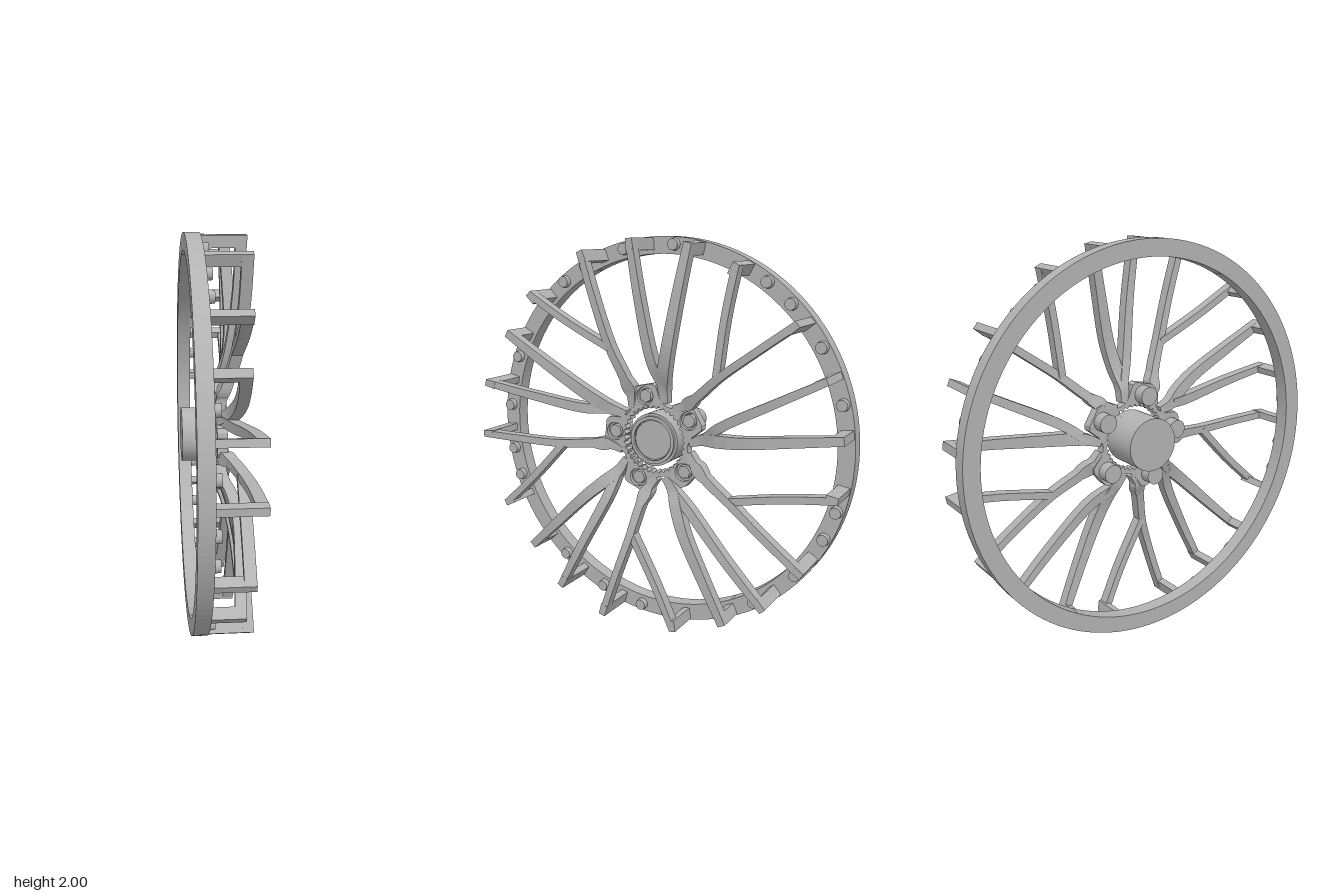
import * as THREE from 'three';

const rad = THREE.MathUtils.degToRad;
const polar = (deg, r) => new THREE.Vector2(Math.cos(rad(deg)) * r, Math.sin(rad(deg)) * r);

// Swept rectangular bar; rows are [angle, radius, front height, width, depth]
function barGeometry(rows, steps) {
  const path = new THREE.CatmullRomCurve3(rows.map(([a, r, z]) => {
    const p = polar(a, r);
    return new THREE.Vector3(p.x, p.y, z);
  }));
  const size = new THREE.CatmullRomCurve3(rows.map(([, , , w, d]) => new THREE.Vector3(w, d, 0)));
  const sections = [];
  for (let i = 0; i <= steps; i++) {
    const p = path.getPoint(i / steps), t = path.getTangent(i / steps), s = size.getPoint(i / steps);
    const n = new THREE.Vector2(-t.y, t.x).normalize().multiplyScalar(s.x / 2);
    sections.push([[1, 0], [-1, 0], [-1, 1], [1, 1]].map(([side, back]) =>
      [p.x + n.x * side, p.y + n.y * side, p.z - s.y * back]));
  }
  const pos = [];
  const tri = (...c) => c.forEach(v => pos.push(...v));
  for (let i = 0; i < steps; i++) {
    const A = sections[i], B = sections[i + 1];
    for (let k = 0; k < 4; k++) {
      const m = (k + 1) % 4;
      tri(A[m], B[m], B[k]);
      tri(A[m], B[k], A[k]);
    }
  }
  const s = sections[0], e = sections[steps];
  tri(s[0], s[2], s[1]); tri(s[0], s[3], s[2]);
  tri(e[0], e[1], e[2]); tri(e[0], e[2], e[3]);
  const g = new THREE.BufferGeometry();
  g.setAttribute('position', new THREE.Float32BufferAttribute(pos, 3));
  g.computeVertexNormals();
  return g;
}

// Flat plate between two heights along the axle
function plate(shape, z0, z1, curveSegments = 24) {
  return new THREE.ExtrudeGeometry(shape, { depth: z1 - z0, bevelEnabled: false, curveSegments }).translate(0, 0, z0);
}

function disc(r, hole) {
  const s = new THREE.Shape().absarc(0, 0, r, 0, Math.PI * 2);
  if (hole) s.holes.push(new THREE.Path().absarc(0, 0, hole, 0, Math.PI * 2, true));
  return s;
}

// Cylinder or prism lying along the axle
function peg(r0, r1, z0, z1, sides) {
  return new THREE.CylinderGeometry(r1, r0, z1 - z0, sides).rotateX(Math.PI / 2).translate(0, 0, (z0 + z1) / 2);
}

export function createModel() {
  const metal = new THREE.MeshStandardMaterial({ color: 0xb2b2b2 });
  metal.name = 'grey metal';
  const model = new THREE.Group();
  model.name = 'wheel';
  const wheel = new THREE.Group();
  wheel.name = 'wheelAssembly';
  wheel.rotation.y = Math.PI / 2; // local z becomes the axle along x
  wheel.position.y = 1;
  model.add(wheel);

  const add = (name, geometry, parent = wheel) => {
    const m = new THREE.Mesh(geometry, metal);
    m.name = name;
    parent.add(m);
    return m;
  };

  // Rim ring
  add('rimRing', plate(disc(1, 0.915), -0.14, -0.065, 64));

  // Axle and centre cap with a raised collar
  add('axle', peg(0.135, 0.135, -0.16, 0.02, 48));
  add('capCollar', plate(disc(0.135, 0.112), 0.015, 0.05, 32));
  add('capLip', plate(disc(0.122, 0.105), 0.05, 0.065, 32));
  add('capFace', peg(0.108, 0.1, 0.015, 0.055, 48));

  // Star-shaped hub plate with a toothed bore and bolt pockets
  const PAD = 102.5;
  const outline = [];
  for (let k = 0; k < 5; k++) {
    for (const [a, r] of [[-15, 0.275], [-10, 0.285], [10, 0.285], [15, 0.275], [22, 0.215], [30, 0.195], [36, 0.19], [42, 0.195], [50, 0.215]])
      outline.push(polar(PAD + k * 72 + a, r));
  }
  const hub = new THREE.Shape(outline);
  const teeth = [];
  for (let i = 0; i < 72; i++) teeth.push(polar(-i * 5, i % 2 ? 0.16 : 0.175));
  hub.holes.push(new THREE.Path(teeth));
  for (let k = 0; k < 5; k++) {
    const c = polar(PAD + k * 72, 0.225);
    hub.holes.push(new THREE.Path().absarc(c.x, c.y, 0.046, 0, Math.PI * 2, true));
  }
  add('hubPlate', plate(hub, 0, 0.05));

  // One fifth of the spokes; each ends in a leg reaching back to the rim
  const spokes = {
    mainSpoke: [[111, 0.985, 0.155, 0.036, 0.055], [112.3, 0.75, 0.15, 0.037, 0.055], [114.6, 0.515, 0.128, 0.04, 0.055],
      [116, 0.34, 0.09, 0.045, 0.055], [120, 0.25, 0.06, 0.045, 0.055], [130, 0.2, 0.05, 0.03, 0.05]],
    wideSpoke: [[78.2, 0.985, 0.095, 0.042, 0.055], [78, 0.75, 0.112, 0.05, 0.055], [77.5, 0.5, 0.118, 0.058, 0.055],
      [78, 0.36, 0.095, 0.062, 0.055], [78, 0.27, 0.062, 0.055, 0.055], [72, 0.2, 0.05, 0.035, 0.05]],
    sideSpoke: [[134.3, 0.985, 0.12, 0.036, 0.055], [129, 0.75, 0.125, 0.036, 0.055], [115, 0.505, 0.125, 0.036, 0.055]],
    innerSpoke: [[94.5, 0.985, 0.155, 0.036, 0.055], [92.8, 0.7, 0.145, 0.043, 0.055], [88, 0.4, 0.105, 0.05, 0.055],
      [80, 0.29, 0.065, 0.045, 0.05]],
  };
  const shapes = Object.entries(spokes).map(([name, rows]) => {
    const [angle, , top, width] = rows[0];
    const leg = new THREE.BoxGeometry(0.06, width, top + 0.065).translate(0.965, 0, (top - 0.065) / 2).rotateZ(rad(angle));
    return { name, bar: barGeometry(rows, name === 'sideSpoke' ? 8 : 20), leg };
  });

  const rivet = peg(0.031, 0.028, -0.066, -0.038, 20);
  const nut = peg(0.037, 0.035, -0.01, 0.045, 6);
  const washer = plate(disc(0.047, 0.036), 0.005, 0.03);
  const stud = peg(0.048, 0.048, -0.06, 0.006, 24);

  for (let k = 0; k < 5; k++) {
    const sector = new THREE.Group();
    sector.name = 'spokeSector' + (k + 1);
    sector.rotation.z = rad(72 * k);
    wheel.add(sector);
    for (const { name, bar, leg } of shapes) {
      add(name, bar, sector);
      add(name + 'Leg', leg, sector);
    }
    // Rim rivets
    for (const a of [103.4, 86.6, 55.4, 46.2]) {
      const p = polar(a, 0.963);
      add('rimRivet', rivet, sector).position.set(p.x, p.y, 0);
    }
    // Hub bolts
    const c = polar(PAD, 0.225);
    for (const [name, g] of [['hubNut', nut], ['hubWasher', washer], ['hubStud', stud]])
      add(name, g, sector).position.set(c.x, c.y, 0);
  }
  return model;
}
